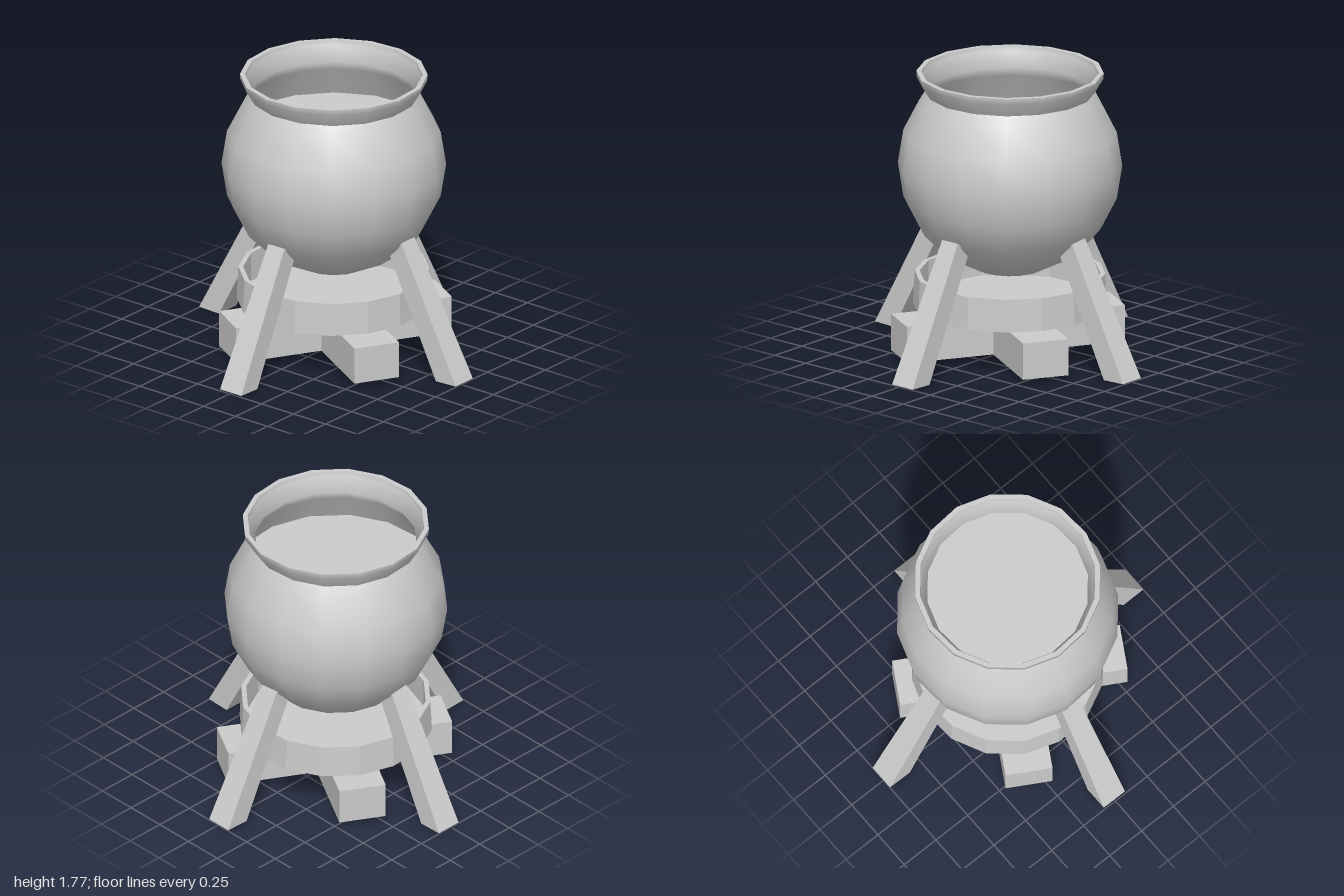
import * as THREE from 'three';

const material = new THREE.MeshStandardMaterial({ color: 0xcccccc, side: THREE.DoubleSide });
const flatMaterial = new THREE.MeshStandardMaterial({ color: 0xcccccc, side: THREE.DoubleSide, flatShading: true });
const SIDES = 16;

function addMesh(parent, name, geometry, mat = material) {
  const mesh = new THREE.Mesh(geometry, mat);
  mesh.name = name;
  parent.add(mesh);
  return mesh;
}

function lathe(points, start) {
  return new THREE.LatheGeometry(points.map(([r, y]) => new THREE.Vector2(r, y)), SIDES, start);
}

// Slanted leg reaching out along +z: a box whose corners follow the foot and the top end
function legGeometry() {
  const geometry = new THREE.BoxGeometry(1, 1, 1);
  const p = geometry.attributes.position;
  for (let i = 0; i < p.count; i++) {
    const top = p.getY(i) > 0, outer = p.getZ(i) > 0;
    const halfWidth = top ? 0.063 : 0.083;
    const y = top ? (outer ? 0.84 : 0.775) : (outer ? 0.02 : 0.015);
    const z = top ? (outer ? 0.56 : 0.45) : (outer ? 1 : 0.845);
    p.setXYZ(i, Math.sign(p.getX(i)) * halfWidth, y, z);
  }
  geometry.computeVertexNormals();
  return geometry;
}

export function createModel() {
  const model = new THREE.Group();
  model.name = 'cauldronOverFire';

  // Round pot: sphere profile up to the neck
  const pot = new THREE.Group();
  pot.name = 'pot';
  pot.position.set(-0.01, 0, -0.015);
  model.add(pot);
  const turn = -0.117;
  const R = 0.682, bodyProfile = [];
  for (let i = 0; i <= 7; i++) {
    const a = (-90 + i * 18) * Math.PI / 180;
    bodyProfile.push([Math.max(0, R * Math.cos(a)), 1.2 + R * Math.sin(a)]);
  }
  bodyProfile.push([0.515, 1.66]);
  addMesh(pot, 'potBody', lathe(bodyProfile, turn));

  // Flared rim, its lip and the inner wall down to the contents
  addMesh(pot, 'rimFlare', lathe([[0.515, 1.66], [0.568, 1.75], [0.57, 1.785]], turn));
  addMesh(pot, 'rimLip', lathe([[0.57, 1.785], [0.54, 1.785]], turn));
  addMesh(pot, 'innerWall', lathe([[0.54, 1.785], [0.535, 1.755], [0.495, 1.66], [0.53, 1.6], [0.635, 1.4]], turn));
  addMesh(pot, 'contents', lathe([[0.64, 1.4], [0, 1.4]], turn));

  // Shallow fire dish under the pot
  const dish = addMesh(model, 'fireDish', lathe([
    [0, 0.31], [0.59, 0.31], [0.58, 0.515], [0.55, 0.515], [0.55, 0.33], [0, 0.33],
  ], 0.262), flatMaterial);
  dish.position.set(-0.01, 0, -0.015);

  // Four splayed legs
  const leg = legGeometry();
  const legNames = ['frontLeg', 'leftLeg', 'backLeg', 'rightLeg'];
  const shifts = [[0, -0.01], [0, -0.027], [-0.005, 0], [0, -0.02]];
  legNames.forEach((name, i) => {
    const mesh = addMesh(model, name, leg);
    mesh.rotation.y = i * Math.PI / 2;
    mesh.position.set(shifts[i][0], 0, shifts[i][1]);
  });

  // Two crossed logs
  const log = new THREE.BoxGeometry(0.29, 0.23, 1.4);
  ['lowerLog', 'crossLog'].forEach((name, i) => {
    const mesh = addMesh(model, name, log);
    mesh.position.set(0.005, 0.165, -0.012);
    mesh.rotation.y = -Math.PI / 6 + i * Math.PI / 2;
  });

  return model;
}
